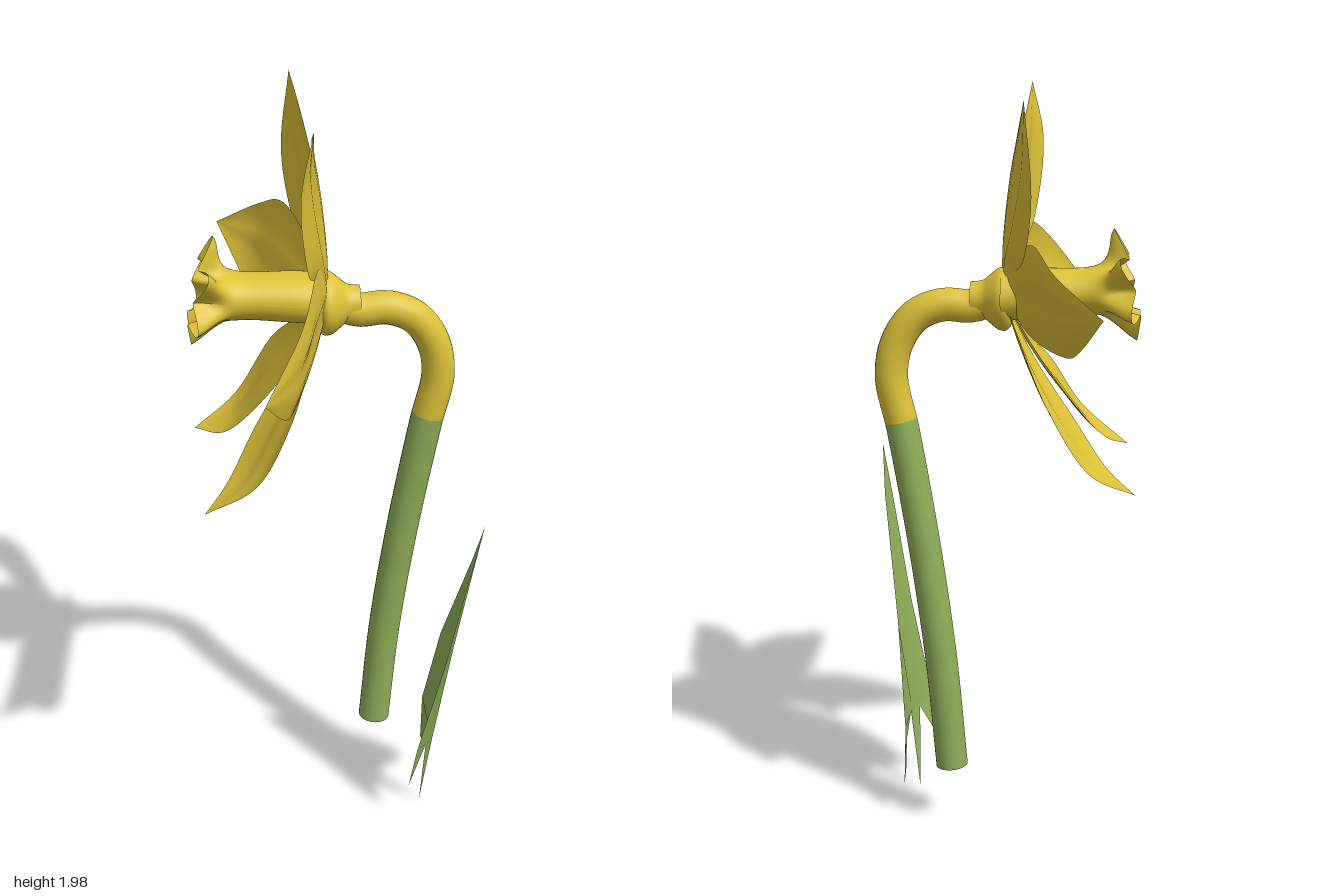
import * as THREE from 'three';

const yellow = new THREE.MeshStandardMaterial({ color: 0xdcc238, side: THREE.DoubleSide });
yellow.name = 'petal yellow';
const green = new THREE.MeshStandardMaterial({ color: 0x8dae58, side: THREE.DoubleSide });
green.name = 'stem green';

const vec = (p) => new THREE.Vector3(...p);
const curveOf = (pts) => new THREE.CatmullRomCurve3(pts.map(vec));

function named(name, geometry, material) {
  const mesh = new THREE.Mesh(geometry, material);
  mesh.name = name;
  return mesh;
}

// Smooth sheet of (rows + 1) x (cols + 1) points given by a rule f(u along, v across)
function sheet(rows, cols, f) {
  const pos = [], idx = [];
  for (let r = 0; r <= rows; r++)
    for (let c = 0; c <= cols; c++) pos.push(...f(r / rows, c / cols).toArray());
  for (let r = 0; r < rows; r++)
    for (let c = 0; c < cols; c++) {
      const a = r * (cols + 1) + c, b = a + cols + 1;
      idx.push(a, b, a + 1, b, b + 1, a + 1);
    }
  const g = new THREE.BufferGeometry();
  g.setAttribute('position', new THREE.Float32BufferAttribute(pos, 3));
  g.setIndex(idx);
  g.computeVertexNormals();
  return g;
}

// Petal stretched between two edge curves, bulging backwards with a shallow midrib groove
function petal(name, tip, edgeA, edgeB, bulge) {
  const root = [-0.01, 1.49, -0.01];
  const a = curveOf([root, ...edgeA, tip]), b = curveOf([root, ...edgeB, tip]);
  return named(name, sheet(24, 12, (u, v) => {
    const p = a.getPoint(u).lerp(b.getPoint(u), v);
    const s = 2 * v - 1;
    const fold = (1 - s * s) - 0.35 * Math.exp(-s * s * 14);
    p.x += bulge * fold * Math.sin(Math.PI * u);
    return p;
  }), yellow);
}

function petals() {
  const group = new THREE.Group();
  group.name = 'petals';
  group.add(
    petal('upperLeftPetal', [-0.07, 2.0, 0.31],
      [[-0.05, 1.58, 0.12], [-0.08, 1.65, 0.25], [-0.1, 1.85, 0.315]],
      [[-0.02, 1.62, -0.01], [-0.04, 1.81, -0.02], [-0.06, 1.92, 0.12]], 0.025),
    petal('upperRightPetal', [-0.08, 1.985, -0.33],
      [[-0.02, 1.63, 0.01], [-0.04, 1.81, -0.055], [-0.06, 1.91, -0.18]],
      [[-0.04, 1.55, -0.1], [-0.08, 1.62, -0.28], [-0.1, 1.77, -0.365]], 0.025),
    petal('leftPetal', [-0.2, 1.45, 0.54],
      [[-0.03, 1.59, 0.07], [-0.06, 1.64, 0.23], [-0.11, 1.58, 0.43]],
      [[-0.05, 1.37, 0.05], [-0.11, 1.31, 0.24], [-0.15, 1.365, 0.43]], 0.025),
    petal('rightPetal', [-0.27, 1.52, -0.54],
      [[-0.04, 1.58, -0.1], [-0.1, 1.65, -0.29], [-0.16, 1.6, -0.44]],
      [[-0.08, 1.4, -0.09], [-0.18, 1.38, -0.28], [-0.22, 1.43, -0.43]], 0.025),
    petal('lowerLeftPetal', [-0.34, 1.03, 0.25],
      [[-0.07, 1.36, 0.13], [-0.13, 1.26, 0.27], [-0.21, 1.13, 0.305]],
      [[-0.1, 1.33, 0.01], [-0.2, 1.18, 0.06], [-0.28, 1.07, 0.16]], 0.02),
    petal('lowerRightPetal', [-0.355, 1.03, -0.25],
      [[-0.09, 1.33, -0.01], [-0.2, 1.17, -0.05], [-0.28, 1.07, -0.13]],
      [[-0.07, 1.38, -0.17], [-0.14, 1.26, -0.315], [-0.24, 1.1, -0.315]], 0.02),
  );
  return group;
}

// Trumpet: open tube along -x flaring into six ruffled points
function trumpet() {
  const profile = curveOf([[-0.01, 0.07, 0], [-0.1, 0.068, 0], [-0.23, 0.064, 0], [-0.29, 0.08, 0], [-0.335, 0.112, 0]]);
  return named('trumpet', sheet(24, 72, (u, v) => {
    const p = profile.getPoint(u), angle = v * Math.PI * 2;
    const flare = THREE.MathUtils.smoothstep(u, 0.55, 1);
    const wave = -Math.cos(6 * angle);
    const r = p.y + 0.03 * wave * flare;
    const y = r * Math.sin(angle) * (0.92 + 0.08 * flare);
    const z = r * Math.cos(angle) * (1.15 - 0.15 * flare);
    return new THREE.Vector3(p.x + flare * (0.22 * y + 0.012 * wave), 1.485 + 0.03 * u + y, -0.02 + z);
  }), yellow);
}

// Hub behind the petals
function hub() {
  const profile = [[0.02, -0.05], [0.075, -0.03], [0.08, -0.005], [0.062, 0.02], [0.047, 0.04], [0.043, 0.07]];
  const g = new THREE.LatheGeometry(new THREE.SplineCurve(profile.map((p) => new THREE.Vector2(...p))).getPoints(16), 24);
  g.rotateZ(-Math.PI / 2);
  g.translate(0, 1.475, -0.012);
  return named('hub', g, yellow);
}

// Stem: one bent tube, yellow at the neck and green below
function stem() {
  const path = curveOf([[0.02, 1.47, -0.01], [0.07, 1.455, -0.01], [0.14, 1.458, -0.012], [0.21, 1.43, -0.014],
    [0.26, 1.36, -0.016], [0.276, 1.27, -0.018], [0.248, 1.13, -0.02], [0.195, 0.82, -0.032],
    [0.152, 0.5, -0.043], [0.125, 0.19, -0.045]]);
  const n = 80, sides = 20;
  const g = new THREE.TubeGeometry(path, n, 0.043, sides);
  let split = 0;
  while (path.getPointAt(split / n).y > 1.155) split++;
  g.addGroup(0, split * sides * 6, 0);
  g.addGroup(split * sides * 6, (n - split) * sides * 6, 1);
  const group = new THREE.Group();
  group.name = 'stem';
  const end = named('stemEnd', new THREE.CircleGeometry(0.043, sides), green);
  end.position.copy(path.getPointAt(1));
  end.lookAt(path.getPointAt(1).add(path.getTangentAt(1)));
  group.add(named('stemTube', g, [yellow, green]), end);
  return group;
}

// Leaf: slightly folded blade with a torn lower edge
function leaf() {
  const pts = [
    [0.35, 1.0, 0.32],                                              // tip
    [0.322, 0.85, 0.305], [0.335, 0.84, 0.27], [0.337, 0.87, 0.25], // upper row
    [0.27, 0.55, 0.273], [0.305, 0.57, 0.205], [0.287, 0.55, 0.1],  // middle row
    [0.21, 0.27, 0.243], [0.26, 0.25, 0.175], [0.258, 0.27, 0.0],   // lower row
    [0.19, 0.14, 0.23], [0.24, 0.25, 0.195], [0.235, 0.02, 0.14],   // torn points
    [0.262, 0.25, 0.16], [0.265, 0.2, 0.08], [0.262, 0.135, 0.035], [0.26, 0.115, -0.025],
  ];
  const g = new THREE.BufferGeometry();
  g.setAttribute('position', new THREE.Float32BufferAttribute(pts.flat(), 3));
  const idx = [0, 1, 2, 0, 2, 3];
  for (const r of [1, 4])
    for (const c of [r, r + 1]) idx.push(c, c + 3, c + 1, c + 1, c + 3, c + 4);
  idx.push(7, 10, 11, 7, 11, 8, 11, 12, 8, 8, 12, 13, 8, 13, 9, 13, 14, 9, 14, 15, 9, 15, 16, 9);
  g.setIndex(idx);
  g.computeVertexNormals();
  return named('leaf', g, green);
}

export function createModel() {
  const model = new THREE.Group();
  model.name = 'flower';
  model.add(petals(), trumpet(), hub(), stem(), leaf());
  return model;
}
